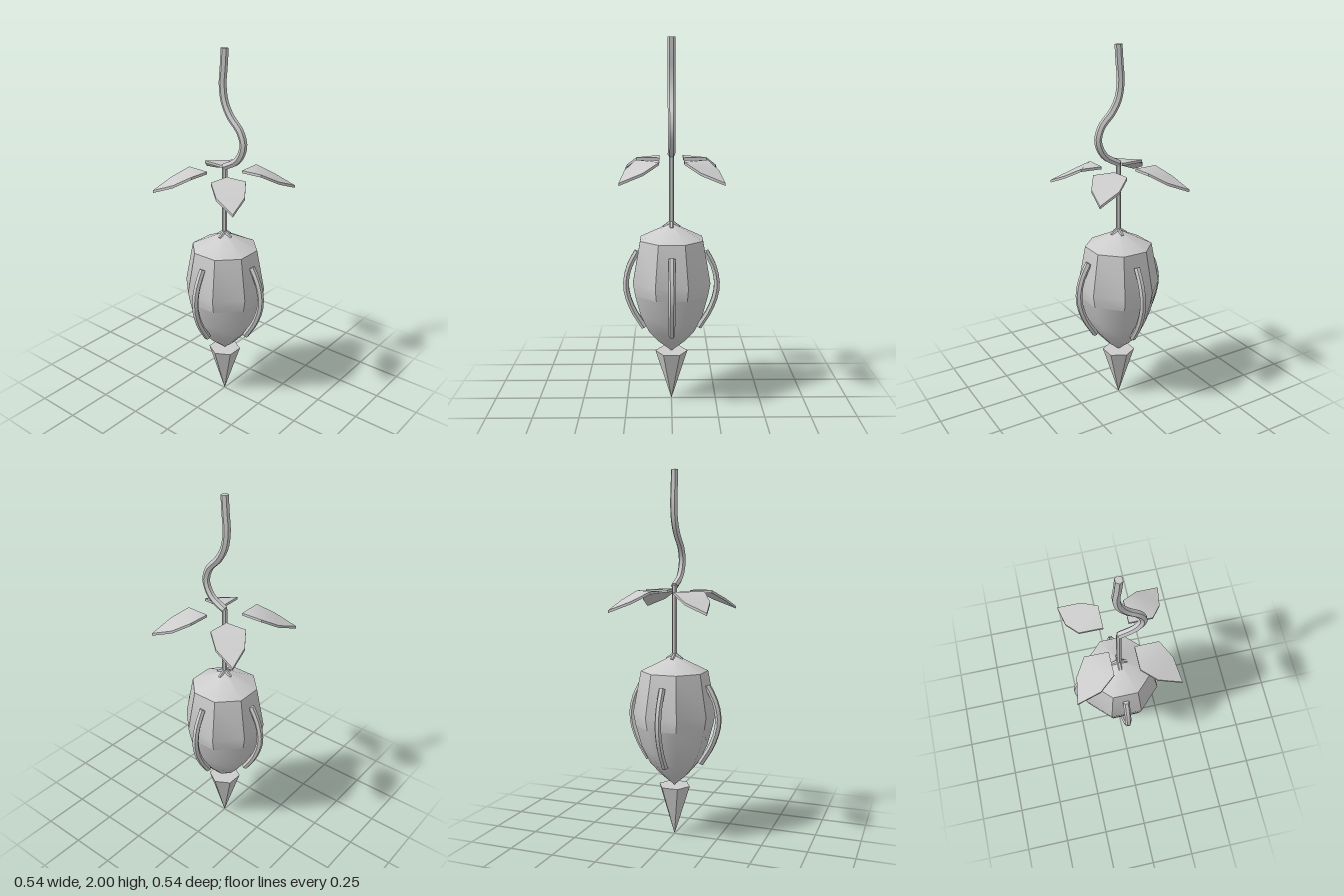
import * as THREE from 'three';
import { toCreasedNormals } from 'three/addons/utils/BufferGeometryUtils.js';

const gray = new THREE.MeshStandardMaterial({ color: 0xcccccc });
gray.name = 'light gray';

// Octagonal lathe with flats facing the axes; points are [apothem, y], bottom to top
function octagonLathe(points) {
  const k = 1 / Math.cos(Math.PI / 8);
  return new THREE.LatheGeometry(points.map(([r, y]) => new THREE.Vector2(r * k, y)), 8, Math.PI / 8);
}

// Six-sided tube along a curve in the XY plane, with closed ends
function cappedTube(points, radius, segments) {
  const curve = new THREE.CatmullRomCurve3(points.map(([x, y]) => new THREE.Vector3(x, y, 0)));
  const group = new THREE.Group();
  group.add(new THREE.Mesh(toCreasedNormals(new THREE.TubeGeometry(curve, segments, radius, 6), 0.7), gray));
  for (const end of [0, 1]) {
    const cap = new THREE.Mesh(new THREE.CircleGeometry(radius, 6), gray);
    const p = curve.getPoint(end);
    cap.position.copy(p);
    cap.lookAt(p.clone().addScaledVector(curve.getTangent(end), end ? 1 : -1));
    cap.name = 'tubeEnd';
    group.add(cap);
  }
  return group;
}

// Thin drooping leaf, symmetric about the diagonal between +x and +z
function leafGeometry() {
  const thickness = 0.014;
  const rim = [
    [0.065, 1.365, 0.065], [0.065, 1.368, 0.19], [0.145, 1.32, 0.246],
    [0.268, 1.272, 0.268], [0.246, 1.32, 0.145], [0.19, 1.368, 0.065],
  ];
  const under = rim.map(([x, y, z]) => [x, y - thickness, z]);
  const pos = [];
  const tri = (a, b, c) => pos.push(...a, ...b, ...c);
  for (const [a, b, c] of [[0, 1, 5], [1, 2, 4], [1, 4, 5], [2, 3, 4]]) {
    tri(rim[a], rim[b], rim[c]);
    tri(under[a], under[c], under[b]);
  }
  for (let i = 0; i < 6; i++) {
    const j = (i + 1) % 6;
    tri(rim[i], under[i], under[j]);
    tri(rim[i], under[j], rim[j]);
  }
  const geo = new THREE.BufferGeometry();
  geo.setAttribute('position', new THREE.Float32BufferAttribute(pos, 3));
  return toCreasedNormals(geo, 0.7);
}

export function createModel() {
  const model = new THREE.Group();
  const add = (name, geo, parent = model) => {
    const mesh = new THREE.Mesh(geo, gray);
    mesh.name = name;
    parent.add(mesh);
    return mesh;
  };

  // Faceted bulb with a smooth lower end and a shallow roof
  add('bulbLower', octagonLathe([[0, 0.285], [0.07, 0.348], [0.125, 0.415], [0.168, 0.51], [0.198, 0.63]]));
  add('bulbUpper', toCreasedNormals(octagonLathe([[0.198, 0.63], [0.21, 0.7], [0.17, 0.93]]), 0.6));
  add('bulbRoof', octagonLathe([[0.17, 0.93], [0, 1.02]]));

  // Pointed six-sided tip
  const tip = add('bottomSpike', toCreasedNormals(new THREE.CylinderGeometry(0.09, 0, 0.285, 6), 0.5));
  tip.position.y = 0.1425;

  // Straight stem and wavy vine
  const stem = add('stem', toCreasedNormals(new THREE.CylinderGeometry(0.014, 0.014, 0.39, 6), 0.7));
  stem.position.y = 1.2;
  const vine = cappedTube([
    [0, 1.39], [0.085, 1.44], [0.122, 1.52], [0.1, 1.595], [0.04, 1.66],
    [0.001, 1.73], [-0.013, 1.82], [-0.006, 1.91], [0, 2],
  ], 0.02, 28);
  vine.name = 'vine';
  model.add(vine);

  // Leaves, side loops and stem roots, repeated every quarter turn
  const leaf = leafGeometry();
  for (let i = 0; i < 4; i++) {
    const quarter = new THREE.Group();
    quarter.name = 'quarter';
    quarter.rotation.y = i * Math.PI / 2;
    add('leaf', leaf, quarter);

    const loop = cappedTube([
      [0.188, 0.86], [0.23, 0.78], [0.25, 0.7], [0.248, 0.63], [0.215, 0.53], [0.152, 0.425],
    ], 0.018, 10);
    loop.name = 'sideLoop';
    quarter.add(loop);

    const root = add('stemRoot', toCreasedNormals(new THREE.CylinderGeometry(0.011, 0.011, 0.05, 6), 0.7), quarter);
    root.position.set(0.022, 1.008, 0);
    root.rotation.z = 0.95;
    model.add(quarter);
  }
  return model;
}
